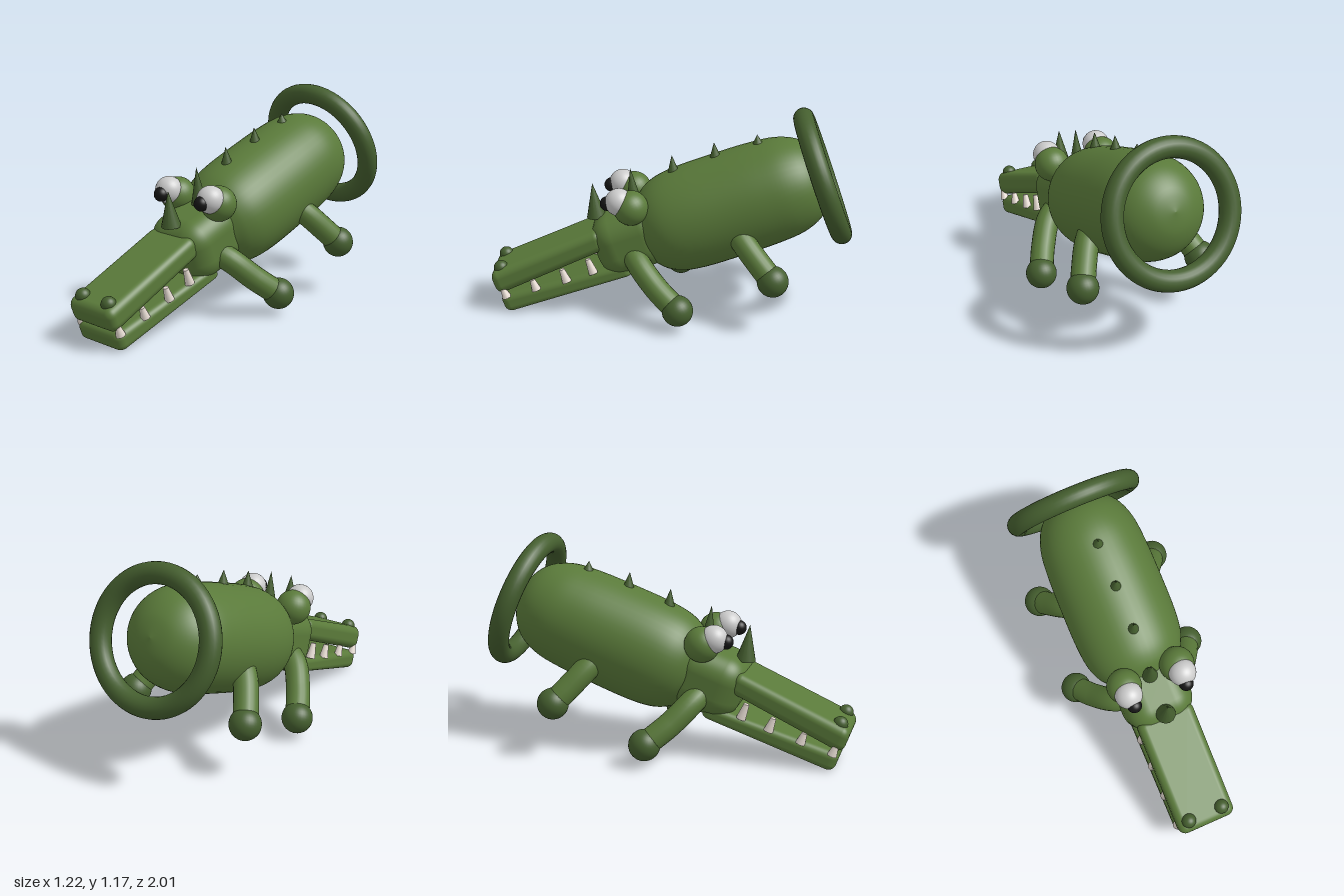
import * as THREE from 'three';
import { RoundedBoxGeometry } from 'three/addons/geometries/RoundedBoxGeometry.js';

const paint = (color) => new THREE.MeshStandardMaterial({ color });

export function createModel() {
  const model = new THREE.Group();
  model.name = 'crocodile';
  const green = paint(0x5a7a3a), darkGreen = paint(0x455f2f);
  const white = paint(0xe4e4e4), black = paint(0x151515), ivory = paint(0xe8ddd4);

  // Everything is built along z, then pitched nose down and turned
  const rig = new THREE.Group();
  rig.name = 'crocodileRig';
  rig.rotation.set(THREE.MathUtils.degToRad(20), THREE.MathUtils.degToRad(-22), 0, 'YXZ');
  rig.position.x = -0.08;
  model.add(rig);

  const add = (name, geometry, material, x = 0, y = 0, z = 0) => {
    const mesh = new THREE.Mesh(geometry, material);
    mesh.name = name;
    mesh.position.set(x, y, z);
    rig.add(mesh);
    return mesh;
  };
  const ball = (name, r, material, x, y, z) =>
    add(name, new THREE.SphereGeometry(r, 32, 20), material, x, y, z);

  // Body: one turned shape from rump to a blunt chest
  const profile = new THREE.SplineCurve([
    [0, -1.1], [0.12, -1.075], [0.22, -1.0], [0.276, -0.88], [0.295, -0.72],
    [0.3, -0.5], [0.298, -0.3], [0.283, -0.17], [0.25, -0.085], [0.205, -0.03],
    [0.165, 0.01], [0.1, 0.04], [0, 0.05],
  ].map(([r, z]) => new THREE.Vector2(r, z))).getPoints(70);
  profile.forEach((p) => { p.x = Math.max(p.x, 0); });
  const bodyGeometry = new THREE.LatheGeometry(profile, 48);
  bodyGeometry.rotateX(Math.PI / 2);
  add('body', bodyGeometry, green, 0, 0.477, 0);

  // Head: soft block joining the chest and the jaws
  add('head', new RoundedBoxGeometry(0.4, 0.36, 0.42, 8, 0.13), green, 0, 0.485, 0.075);

  // Jaws: rounded slabs whose bottom and top slope from back to front
  const jaw = (name, z0, z1, back, front) => {
    const height = 0.13, length = z1 - z0;
    const g = new RoundedBoxGeometry(0.335, height, length, 5, 0.045);
    const p = g.attributes.position;
    for (let i = 0; i < p.count; i++) {
      const t = p.getZ(i) / length + 0.5;
      const low = THREE.MathUtils.lerp(back[0], front[0], t);
      const high = THREE.MathUtils.lerp(back[1], front[1], t);
      p.setY(i, THREE.MathUtils.lerp(low, high, p.getY(i) / height + 0.5));
    }
    add(name, g, green, 0, 0, (z0 + z1) / 2);
  };
  jaw('upperJaw', 0.21, 0.9, [0.498, 0.622], [0.438, 0.578]);
  jaw('lowerJaw', 0.12, 0.895, [0.3, 0.375], [0.318, 0.432]);

  // Curled tail ring around the rump
  add('tailRing', new THREE.TorusGeometry(0.34, 0.058, 20, 64), darkGreen, 0, 0.463, -1.06);

  // Spikes from brow to back: base height, z, radius, length
  [
    [0.655, 0.222, 0.056, 0.2], [0.66, -0.01, 0.045, 0.21], [0.755, -0.28, 0.035, 0.105],
    [0.76, -0.53, 0.034, 0.092], [0.765, -0.78, 0.028, 0.05],
  ].forEach(([y, z, r, length]) => {
    const g = new THREE.ConeGeometry(r, length, 14);
    g.translate(0, length / 2, 0);
    add('spike', g, darkGreen, 0, y, z).rotation.x = -0.24;
  });

  for (const side of [1, -1]) {
    const label = side > 0 ? 'left' : 'right';

    // Eyes and nostrils
    ball(label + 'EyeSocket', 0.098, green, side * 0.158, 0.692, -0.01);
    ball(label + 'Eyeball', 0.077, white, side * 0.16, 0.747, 0.04);
    ball(label + 'Pupil', 0.041, black, side * 0.154, 0.758, 0.105);
    ball(label + 'Nostril', 0.041, darkGreen, side * 0.1, 0.578, 0.83);

    // Teeth standing on the lower jaw: base height, z, length
    [[0.412, 0.856, 0.055], [0.4, 0.677, 0.065], [0.39, 0.494, 0.08], [0.39, 0.332, 0.09]]
      .forEach(([y, z, length]) => {
        const g = new THREE.CylinderGeometry(0.015, 0.027, length, 14);
        add(label + 'Tooth', g, ivory, side * 0.15, y + length / 2, z);
      });

    // Legs with ball feet
    const leg = (name, points) => {
      const path = new THREE.CatmullRomCurve3(
        points.map(([x, y, z]) => new THREE.Vector3(side * x, y, z)));
      add(name + 'Leg', new THREE.TubeGeometry(path, 20, 0.068, 20), green);
      const [x, y, z] = points[points.length - 1];
      ball(name + 'Foot', 0.087, darkGreen, side * x, y, z);
    };
    leg(label + 'Front', [[0.08, 0.45, 0.09], [0.2, 0.38, 0.06], [0.29, 0.24, 0], [0.36, 0.105, -0.077]]);
    leg(label + 'Back', [[0.15, 0.43, -0.5], [0.25, 0.33, -0.54], [0.32, 0.2, -0.59], [0.363, 0.102, -0.63]]);
  }
  return model;
}
